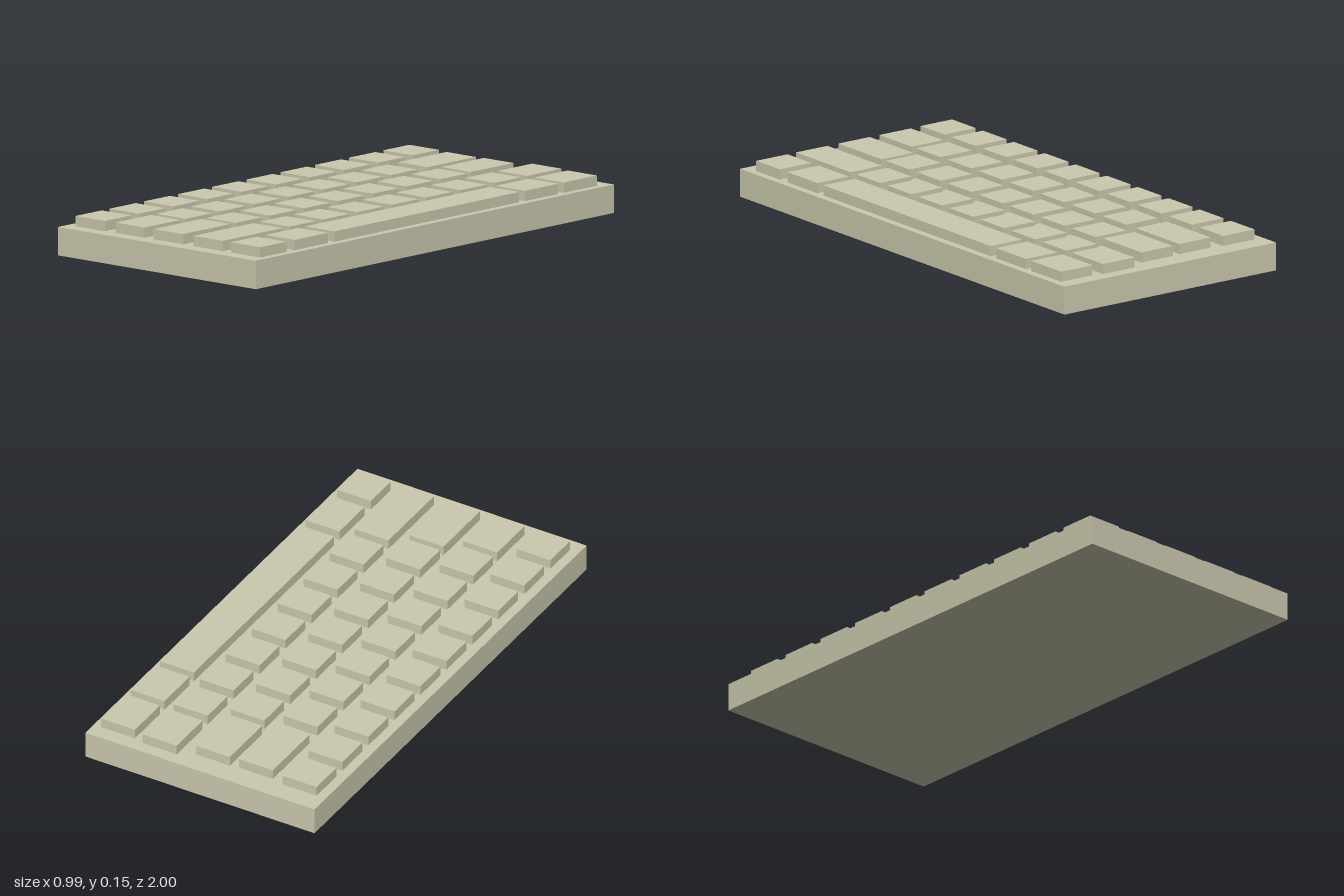
import * as THREE from 'three';

const BASE_TOP = 0.108, KEY_TOP = 0.147, KEY_W = 0.147, KEY_D = 0.146, PITCH = 0.191;

// Each row of keys: left edge x, start and count of the regular keys, then odd-sized keys as [z0, z1, x shift]
const ROWS = [
  { name: 'numberRow', x: -0.456, start: -0.919, count: 10, wide: [] },
  { name: 'upperRow', x: -0.26, start: -0.579, count: 7, wide: [[-0.907, -0.638], [0.743, 0.942]] },
  { name: 'homeRow', x: -0.068, start: -0.643, count: 7, wide: [[-0.913, -0.675, -0.01], [0.675, 0.942]] },
  { name: 'lowerRow', x: 0.13, start: -0.722, count: 7, wide: [[-0.95, -0.759], [0.606, 0.942]] },
  { name: 'spaceRow', x: 0.317, start: 0.795, count: 1,
    wide: [[-0.939, -0.754], [-0.722, -0.537], [-0.505, 0.526], [0.564, 0.749]] },
];

export function createModel() {
  const group = new THREE.Group();
  group.name = 'keyboard';
  const material = new THREE.MeshStandardMaterial({ color: 0xcbc9ae, flatShading: true });

  // Box given by its lower and upper corners
  const box = (name, x0, x1, y0, y1, z0, z1, parent) => {
    const mesh = new THREE.Mesh(new THREE.BoxGeometry(x1 - x0, y1 - y0, z1 - z0), material);
    mesh.position.set((x0 + x1) / 2, (y0 + y1) / 2, (z0 + z1) / 2);
    mesh.name = name;
    parent.add(mesh);
  };

  // Case
  box('case', -0.495, 0.495, 0, BASE_TOP, -1, 1, group);

  // Keys, row by row
  for (const { name, x, start, count, wide } of ROWS) {
    const row = new THREE.Group();
    row.name = name;
    for (let i = 0; i < count; i++) {
      const z = start + i * PITCH;
      box('key', x, x + KEY_W, BASE_TOP, KEY_TOP, z, z + KEY_D, row);
    }
    for (const [z0, z1, shift = 0] of wide) {
      const label = z1 - z0 > 1 ? 'spaceBar' : 'wideKey';
      box(label, x + shift, x + shift + KEY_W, BASE_TOP, KEY_TOP, z0, z1, row);
    }
    group.add(row);
  }
  return group;
}
